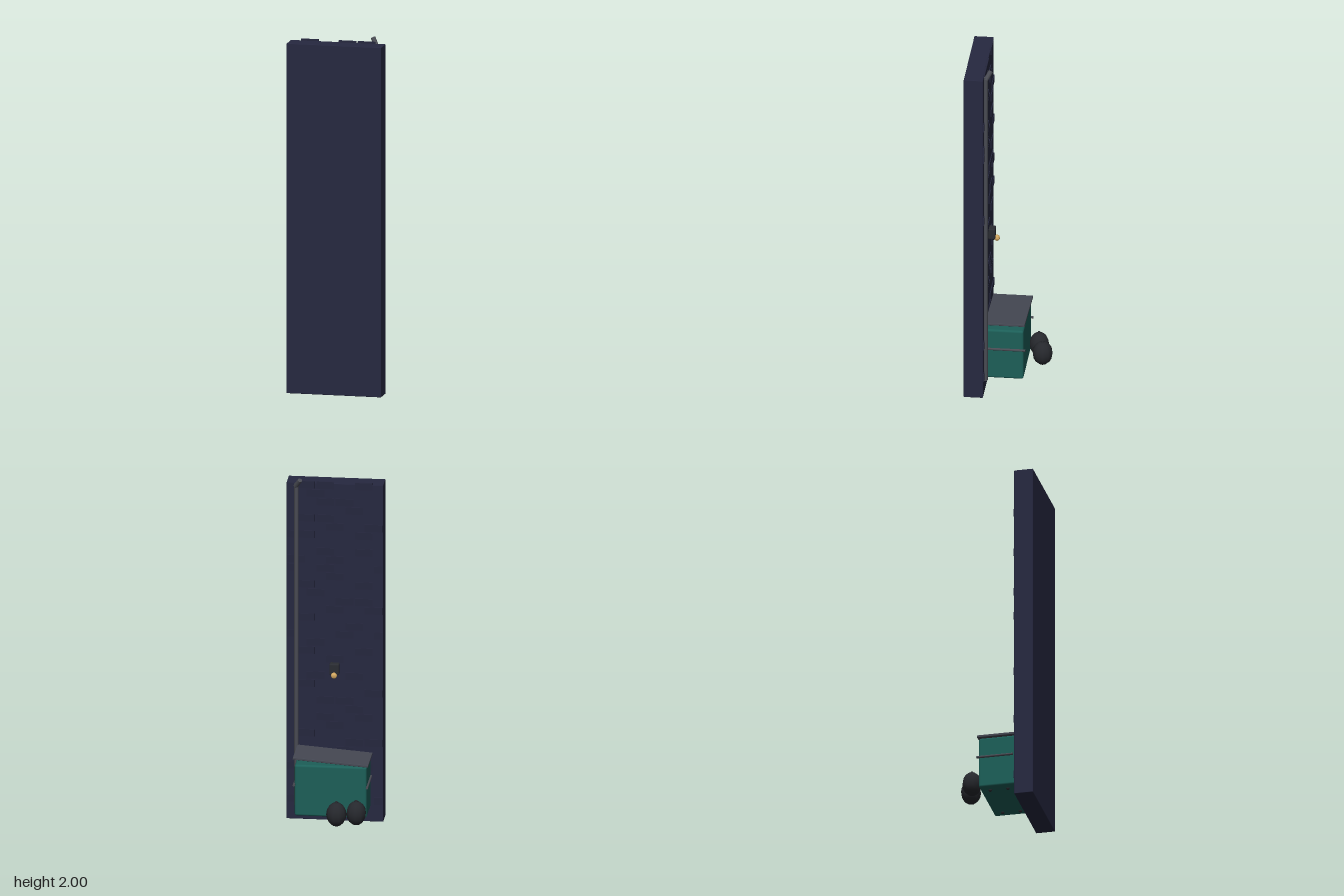
import * as THREE from 'three';
import { RoundedBoxGeometry } from 'three/addons/geometries/RoundedBoxGeometry.js';

const mat = (color, flatShading = false) => new THREE.MeshStandardMaterial({ color, flatShading });
const wallMat = mat(0x262840), brickMat = mat(0x25273e), greenMat = mat(0x1c5f58);
const lidMat = mat(0x454853), pipeMat = mat(0x4a4c54), darkMat = mat(0x2a2c32);
const bagMat = mat(0x26282d), bulbMat = mat(0xd0a660, true);

function add(parent, name, geometry, material, x, y, z) {
  const mesh = new THREE.Mesh(geometry, material);
  mesh.name = name;
  mesh.position.set(x, y, z);
  parent.add(mesh);
  return mesh;
}

// Cylinder running between two points
function rod(parent, name, a, b, radius, sides, material) {
  const from = new THREE.Vector3(...a), dir = new THREE.Vector3(...b).sub(from);
  const mesh = add(parent, name, new THREE.CylinderGeometry(radius, radius, dir.length(), sides), material, 0, 0, 0);
  mesh.position.copy(from).addScaledVector(dir, 0.5);
  mesh.quaternion.setFromUnitVectors(new THREE.Vector3(0, 1, 0), dir.normalize());
  return mesh;
}

// Raised bricks: one entry per course from the top, each digit a slot in it
const COURSES = ['134', '3', '23', '1', '34', '02', '145', '', '13', '24', '035', '2', '14', '3', '12', '02',
  '4', '1', '025', '3', '14', '2', '', '13', '4', '0', '23', '1', '13', '2', '4', '01',
  '2', '', '15', '3', '', '1', '05', ''];

function addBricks(parent) {
  const pitch = 0.107, course = 0.0483, edge = 0.265;
  COURSES.forEach((slots, row) => {
    for (const slot of slots) {
      const centre = -0.2675 + pitch * (Number(slot) + (row % 2 ? 0.5 : 0));
      const x0 = Math.max(centre - 0.049, -edge), x1 = Math.min(centre + 0.049, edge);
      add(parent, 'raisedBrick', new THREE.BoxGeometry(x1 - x0, 0.041, 0.012), brickMat,
        (x0 + x1) / 2, 1.956 - row * course, 0.123);
    }
  });
}

function addDumpster(parent) {
  const dumpster = new THREE.Group();
  dumpster.name = 'dumpster';
  parent.add(dumpster);
  add(dumpster, 'dumpsterBody', new RoundedBoxGeometry(0.4, 0.297, 0.207, 2, 0.012), greenMat, 0, 0.2415, 0.0085);
  // Lid hinged slightly open on one side
  const lid = add(dumpster, 'dumpsterLid', new RoundedBoxGeometry(0.42, 0.014, 0.221, 1, 0.003), lidMat, 0, 0.414, 0.0075);
  lid.rotation.z = 0.075;
  for (const s of [-1, 1]) {
    rod(dumpster, 'sideBar', [s * 0.203, 0.274, 0.1], [s * 0.203, 0.274, -0.106], 0.007, 8, pipeMat);
    for (const z of [-0.04, 0.06])
      add(dumpster, 'caster', new THREE.SphereGeometry(0.011, 8, 6), darkMat, s * 0.15, 0.093, z);
  }
}

function addBag(parent, x, z, radius, turn) {
  const bag = new THREE.Group();
  bag.name = 'rubbishBag';
  bag.position.set(x, 0.14, z);
  bag.rotation.y = turn;
  parent.add(bag);
  add(bag, 'bagBody', new THREE.SphereGeometry(radius, 10, 8), bagMat, 0, 0, 0).scale.y = 0.069 / radius;
  add(bag, 'bagKnot', new THREE.CylinderGeometry(0.008, 0.012, 0.014, 6), bagMat, 0, 0.067, 0);
}

export function createModel() {
  const model = new THREE.Group();
  model.name = 'alleyWall';

  // Wall slab with brick relief on the back
  add(model, 'wall', new RoundedBoxGeometry(0.536, 1.967, 0.107, 1, 0.003), wallMat, 0, 0.9835, 0.1755);
  addBricks(model);

  // Drainpipe with a bent outlet at the top
  rod(model, 'drainpipe', [0.213, 0.085, 0.113], [0.213, 1.963, 0.113], 0.0125, 8, pipeMat);
  rod(model, 'pipeElbow', [0.216, 1.948, 0.112], [0.19, 1.992, 0.086], 0.0135, 8, pipeMat);

  // Wall lamp
  add(model, 'lampHousing', new RoundedBoxGeometry(0.054, 0.064, 0.04, 2, 0.007), darkMat, 0, 0.893, 0.101);
  add(model, 'lampBulb', new THREE.SphereGeometry(0.0175, 8, 6), bulbMat, 0, 0.861, 0.074);

  addDumpster(model);
  addBag(model, -0.148, -0.144, 0.055, 0.3);
  addBag(model, -0.041, -0.175, 0.056, 0.1);
  return model;
}
